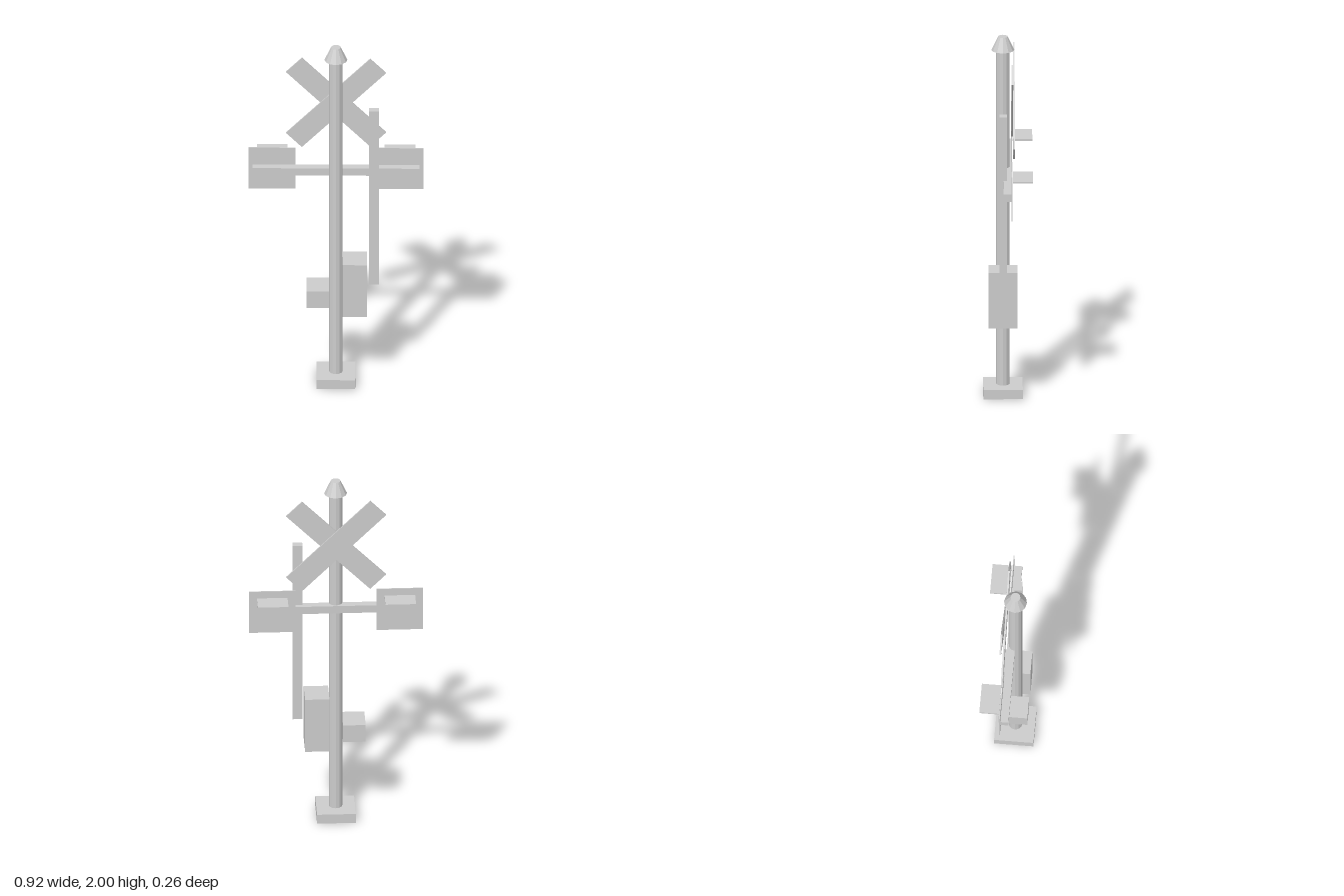
import * as THREE from 'three';

export function createModel() {
  const group = new THREE.Group();
  group.name = 'crossingSignal';
  const grey = new THREE.MeshStandardMaterial({ color: 0xcccccc, flatShading: true });
  grey.name = 'lightGrey';

  const add = (name, geometry, x, y, z) => {
    const mesh = new THREE.Mesh(geometry, grey);
    mesh.name = name;
    mesh.position.set(x, y, z);
    group.add(mesh);
    return mesh;
  };
  // Box given by its extents on each axis
  const box = (name, [x0, x1], [y0, y1], [z0, z1]) =>
    add(name, new THREE.BoxGeometry(x1 - x0, y1 - y0, z1 - z0),
      (x0 + x1) / 2, (y0 + y1) / 2, (z0 + z1) / 2);

  // Post with its foot and tapered cap
  const postZ = 0.027;
  box('base', [-0.103, 0.103], [0, 0.053], [-0.078, 0.131]);
  add('post', new THREE.CylinderGeometry(0.036, 0.036, 1.89, 12), 0, 0.995, postZ);
  add('cap', new THREE.CylinderGeometry(0.026, 0.061, 0.075, 12), 0, 1.9625, postZ);

  // Two crossed boards, one behind the other
  for (const [name, z, angle] of [
    ['crossBoardInner', -0.0225, Math.PI / 4],
    ['crossBoardOuter', -0.0315, -Math.PI / 4],
  ]) {
    add(name, new THREE.BoxGeometry(0.63, 0.119, 0.009), 0, 1.639, z).rotation.z = angle;
  }

  // Crossarm carrying a lamp at each end, facing the back
  box('crossarm', [-0.442, 0.442], [1.227, 1.27], [-0.017, 0.026]);
  for (const [side, x] of [['right', -0.338], ['left', 0.338]]) {
    box(side + 'LampPanel', [x - 0.124, x + 0.124], [1.124, 1.37], [-0.022, -0.017]);
    box(side + 'LampHood', [x - 0.081, x + 0.081], [1.321, 1.332], [-0.13, -0.026]);
    add(side + 'Lens', new THREE.CircleGeometry(0.07, 32), x, 1.24, -0.0235).rotation.y = Math.PI;
  }

  // Raised gate arm, its drive box and the counterweight
  box('gateArm', [0.176, 0.228], [0.585, 1.624], [0.006, 0.046]);
  box('driveBox', [0.036, 0.165], [0.418, 0.73], [-0.051, 0.103]);
  box('counterweight', [-0.156, -0.036], [0.471, 0.571], [-0.051, 0.103]);

  return group;
}
